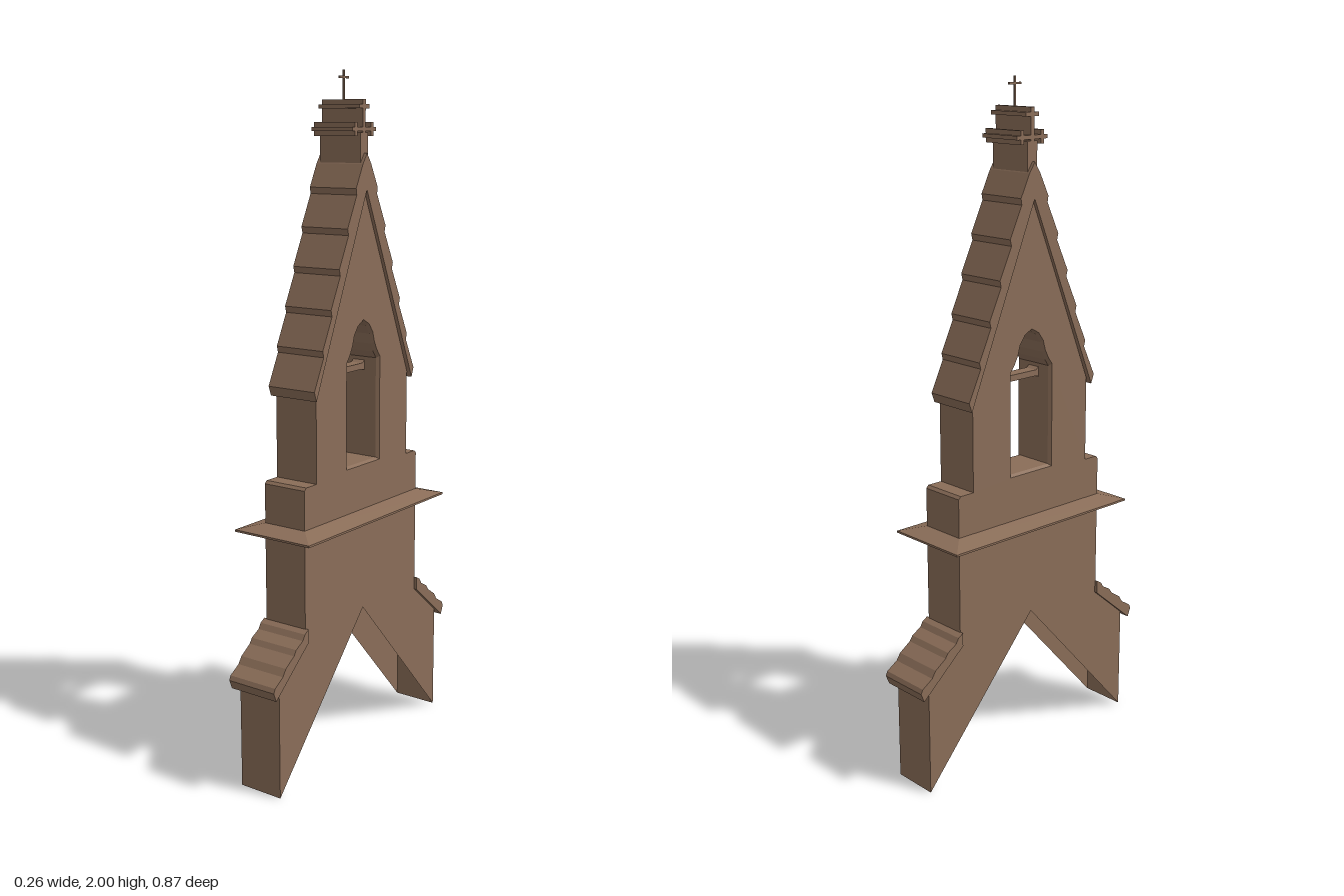
import * as THREE from 'three';

const stone = new THREE.MeshStandardMaterial({ color: 0x8a6d58, side: THREE.DoubleSide });
stone.name = 'brown stone';

// Profiles are drawn as [z, y] points and carried across the wall along x.
const vec = (pts) => pts.map(([z, y]) => new THREE.Vector2(z, y));
const mirror = (pts) => pts.map(([z, y]) => [-z, y]).reverse();

function add(parent, name, geometry) {
  const mesh = new THREE.Mesh(geometry, stone);
  mesh.name = name;
  parent.add(mesh);
  return mesh;
}

function slab(pts, halfWidth) {
  const g = new THREE.ExtrudeGeometry(new THREE.Shape(vec(pts)), { depth: 2 * halfWidth, bevelEnabled: false });
  return g.translate(0, 0, -halfWidth).rotateY(-Math.PI / 2);
}

// Flat-faced surface joining the same polyline at successive x positions
function loft(rings) {
  const pos = [];
  for (let r = 0; r + 1 < rings.length; r++) {
    const [a, b] = [rings[r], rings[r + 1]];
    for (let i = 0; i + 1 < a.pts.length; i++) {
      const p = [[a, i], [a, i + 1], [b, i + 1], [b, i]].map(([q, k]) => [q.x, q.pts[k][1], q.pts[k][0]]);
      for (const k of [0, 2, 1, 0, 3, 2]) pos.push(...p[k]);
    }
  }
  const g = new THREE.BufferGeometry();
  g.setAttribute('position', new THREE.Float32BufferAttribute(pos, 3));
  g.computeVertexNormals();
  return g;
}

const W = 0.07; // half thickness of the wall

export function createModel() {
  const model = new THREE.Group();
  model.name = 'bellGable';

  // Wall outline, from the front foot over the gable to the back foot
  const half = [[0.4, 0], [0.4, 0.325], [0.28, 0.43], [0.28, 0.868], [0.272, 0.876],
    [0.225, 0.876], [0.225, 1.13]];
  const outline = [...half, [0, 1.68], ...mirror(half)];

  // Pointed bell opening
  const arch = [[0.076, 0.893], [0.076, 1.19], [0.062, 1.21], [0.05, 1.235], [0.042, 1.265],
    [0.025, 1.29]];
  const opening = [...arch, [0, 1.305], ...mirror(arch)];
  const wide = opening.map(([z, y]) => [z * 1.08, y < 0.9 ? 0.887 : y + 0.006]);

  // Two wall faces, with the underside left open above the ridge
  const wallShape = new THREE.Shape(vec([...outline, [0, 0.45]]));
  wallShape.holes.push(new THREE.Path(vec(wide)));
  const wall = new THREE.Group();
  wall.name = 'wall';
  model.add(wall);
  for (const s of [1, -1]) {
    const face = new THREE.ShapeGeometry(wallShape).rotateY(-Math.PI / 2);
    // Turn the +x face round so that both faces look outwards
    if (s > 0) face.rotateY(Math.PI);
    add(wall, s > 0 ? 'leftFace' : 'rightFace', face.translate(s * W, 0, 0));
  }
  add(wall, 'wallEdges', loft([{ x: -W, pts: outline }, { x: W, pts: outline }]));

  // Opening lining with chamfered rims
  const close = (pts) => [...pts, pts[0]];
  add(wall, 'openingLining', loft([
    { x: W, pts: close(wide) }, { x: W - 0.01, pts: close(opening) },
    { x: 0.01 - W, pts: close(opening) }, { x: -W, pts: close(wide) },
  ]));

  // Bell beam, slightly thicker at its ends
  add(model, 'bellBeam', slab([[0.08, 1.15], [0.08, 1.182], [0.065, 1.172], [-0.065, 1.172],
    [-0.08, 1.182], [-0.08, 1.15], [-0.06, 1.154], [0.06, 1.154]], 0.02));

  // Thin tapering cornice round the wall
  const plan = new THREE.Shape([[W, 0.28], [-W, 0.28], [-W, -0.28], [W, -0.28]]
    .map(([x, z]) => new THREE.Vector2(x, z)));
  const cornice = new THREE.ExtrudeGeometry(plan, {
    depth: 0.006, bevelThickness: 0.016, bevelSize: 0.061, bevelSegments: 1,
  }).rotateX(-Math.PI / 2);
  add(model, 'cornice', cornice.translate(0, 0.732, 0));

  // Stepped courses of the gable roof
  const courses = [];
  for (let i = 0; i < 5; i++) {
    const z = 0.246 - i * 0.0385, y = 1.14 + i * 0.108;
    courses.push([z, y], [z - 0.043, y + 0.09]);
  }
  const slope = [[0.236, 1.112], ...courses, [0.052, 1.68], [0.02, 1.745]];
  add(model, 'gableRoof', slab([...slope, [0, 1.775], ...mirror(slope), [0, 1.675]], 0.08));

  // Small stepped roofs over the feet
  const cap = [[0.425, 0.303], [0.436, 0.33], [0.43, 0.343], [0.395, 0.365], [0.382, 0.385],
    [0.345, 0.41], [0.335, 0.425], [0.305, 0.442], [0.295, 0.458], [0.278, 0.468], [0.278, 0.428]];
  add(model, 'frontFootRoof', slab(cap, 0.08));
  add(model, 'backFootRoof', slab(mirror(cap), 0.08));

  // Ridge crest: [z, y, depth, height] bars running across the wall
  const crest = new THREE.Group();
  crest.name = 'ridgeCrest';
  model.add(crest);
  const bars = [[0, 1.78, 0.036, 0.1], [0, 1.87, 0.013, 0.1], [0, 1.84, 0.114, 0.011], [0, 1.901, 0.048, 0.011]];
  for (const s of [1, -1]) bars.push([s * 0.038, 1.84, 0.012, 0.038]);
  for (const [z, y, d, h] of bars) {
    add(crest, 'crestBar', new THREE.BoxGeometry(2 * W, h, d)).position.set(0, y, z);
  }

  // Slender cross on top
  const cross = new THREE.Group();
  cross.name = 'topCross';
  model.add(cross);
  add(cross, 'upright', new THREE.BoxGeometry(0.005, 0.084, 0.006)).position.y = 1.958;
  add(cross, 'crossArm', new THREE.BoxGeometry(0.005, 0.006, 0.044)).position.y = 1.98;

  return model;
}
